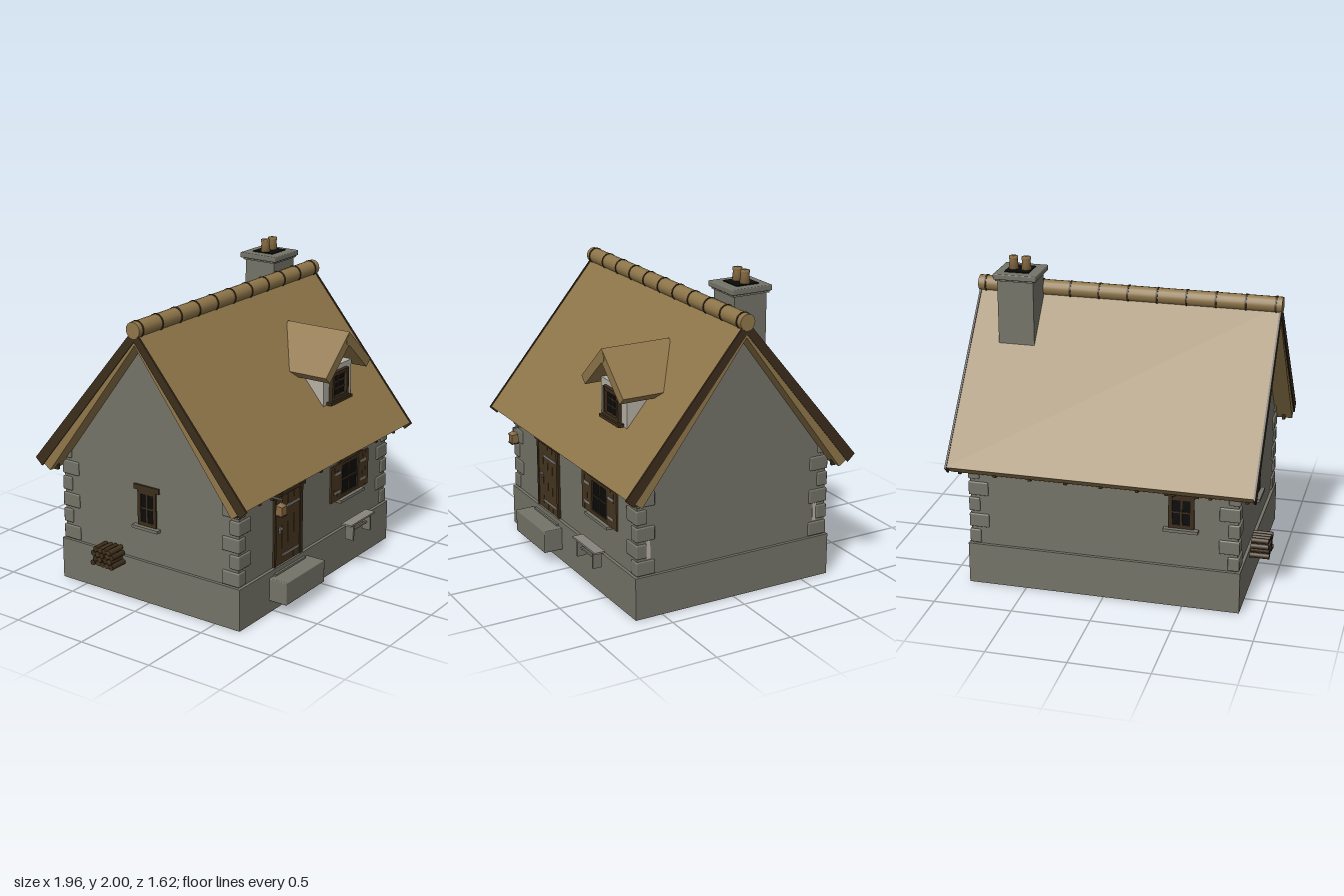
import * as THREE from 'three';
import { RoundedBoxGeometry } from 'three/addons/geometries/RoundedBoxGeometry.js';

const material = (name, color) => {
  const m = new THREE.MeshStandardMaterial({ color });
  m.name = name;
  return m;
};

export function createModel() {
  const stone = material('stone', 0x747368);
  const thatch = material('thatch', 0x8f764a);
  const darkWood = material('dark wood', 0x3b2d1b);
  const doorWood = material('door wood', 0x46351f);
  const plaster = material('plaster', 0xb5b0a5);
  const glass = material('dark glass', 0x0b0b0c);
  const clay = material('clay', 0x866a41);
  const iron = material('pale grey', 0x86847d);

  const model = new THREE.Group();
  model.name = 'cottage';

  const add = (name, geo, mat, parent) => {
    const m = new THREE.Mesh(geo, mat);
    m.name = name;
    parent.add(m);
    return m;
  };
  const group = (name, parent) => {
    const g = new THREE.Group();
    g.name = name;
    parent.add(g);
    return g;
  };
  const house = group('house', model);
  house.position.set(.008, 0, -.006);

  // box given by its limits on each axis, with optional rounded edges
  const box = (name, mat, x0, x1, y0, y1, z0, z1, parent = house, r = 0) => {
    const size = [x1 - x0, y1 - y0, z1 - z0];
    const m = add(name, r ? new RoundedBoxGeometry(...size, 1, r) : new THREE.BoxGeometry(...size), mat, parent);
    m.position.set((x0 + x1) / 2, (y0 + y1) / 2, (z0 + z1) / 2);
    return m;
  };
  const outline = pts => pts.map(p => new THREE.Vector2(...p));
  const extrude = (pts, depth) => new THREE.ExtrudeGeometry(
    new THREE.Shape(outline(pts)), { depth, bevelEnabled: false });
  const chevron = (top, ox, oy, ix, iy, inner) =>
    [[0, top], [-ox, oy], [-ix, iy], [0, inner], [ix, iy], [ox, oy]];
  // prism running along x with its outline in the z-y plane
  const prismX = (name, mat, pts, x0, x1, parent = house) => {
    const m = add(name, extrude(pts, x1 - x0).rotateY(Math.PI / 2), mat, parent);
    m.position.x = x0;
    return m;
  };

  // Hollow foundation with floor above
  const ring = new THREE.Shape(outline([[-.865, -.686], [.865, -.686], [.865, .686], [-.865, .686]]));
  ring.holes.push(new THREE.Path(outline([[-.825, -.645], [-.825, .645], [.825, .645], [.825, -.645]])));
  add('foundation', new THREE.ExtrudeGeometry(ring, { depth: .27, bevelEnabled: false }).rotateX(-Math.PI / 2), stone, house);
  box('floor', plaster, -.83, .83, .2, .208, -.65, .65);

  // Walls with gables, tucked into the thatch
  prismX('walls', stone, [[-.665, .21], [.665, .21], [.665, .8], [0, 1.702], [-.665, .8]], -.845, .845);
  for (const s of [-1, 1])
    box('plasterPatch', plaster, .842, .848, .375, .495, s * .59 - .012, s * .59 + .012);

  // Corner stones, long and short in turn
  const quoins = group('cornerStones', house);
  for (const sx of [-1, 1]) for (const sz of [-1, 1]) for (let i = 0; i < 6; i++) {
    const w = i % 2 ? .128 : .072, d = i % 2 ? .072 : .128;
    const q = add('cornerStone', new RoundedBoxGeometry(w, .09, d, 1, .008), stone, quoins);
    q.position.set(sx * (.857 - w / 2), .32 + i * .1085, sz * (.676 - d / 2));
  }

  // Main roof
  const roof = group('roof', house);
  prismX('thatchRoof', thatch, chevron(1.765, .79, .822, .69, .752, 1.672), -.955, .957, roof);
  for (const x of [-.962, .95])
    prismX('bargeBoard', darkWood, chevron(1.775, .8, .818, .75, .772, 1.695), x, x + .012, roof);

  // Ridge roll with bands
  const ridgeRoll = add('ridgeRoll', new THREE.CylinderGeometry(.05, .05, 1.935, 16).rotateZ(Math.PI / 2), thatch, roof);
  ridgeRoll.position.set(0, 1.767, 0);
  for (let i = 0; i < 11; i++) {
    const b = add('ridgeBand', new THREE.CylinderGeometry(.054, .054, .011, 16).rotateZ(Math.PI / 2), darkWood, roof);
    b.position.set(-.928 + i * .185, 1.767, 0);
  }

  // Rafter tails under both eaves
  for (const s of [-1, 1]) for (let i = 0; i < 9; i++) {
    const x = -.9 + i * .225;
    box('rafterTail', darkWood, x - .01, x + .01, .746, .79, s * .685 - .018, s * .685 + .018);
  }

  // Chimney
  const chimney = group('chimney', house);
  box('chimneyStack', stone, .54, .77, 1.4, 1.89, -.253, -.03, chimney);
  box('chimneyCollar', stone, .53, .78, 1.868, 1.885, -.265, -.018, chimney);
  box('chimneyCap', stone, .515, .79, 1.88, 1.916, -.281, -.004, chimney, .007);
  box('chimneyOpening', glass, .577, .732, 1.914, 1.922, -.222, -.069, chimney);
  for (const x of [.613, .695]) {
    const profile = [[0, 1.915], [.033, 1.915], [.026, 1.98], [.029, 1.984], [.029, 2], [0, 2]];
    const pot = add('chimneyPot', new THREE.LatheGeometry(outline(profile), 12), clay, chimney);
    pot.position.set(x, 0, -.147);
  }

  // Window facing +z, its wall on z = 0, frame standing out by d
  const makeWindow = (name, w, h, rows, d, sillMat, lintel) => {
    const g = group(name, house), a = w / 2, b = h / 2, t = .024;
    box('windowGlass', glass, -a + .01, a - .01, -b + .01, b - .01, -.003, .003, g);
    for (const s of [-1, 1]) {
      box('windowJamb', darkWood, s * (a - t / 2) - t / 2, s * (a - t / 2) + t / 2, -b, b, -.01, d, g);
      box('windowRail', darkWood, -a, a, s * (b - t / 2) - t / 2, s * (b - t / 2) + t / 2, -.01, d - .001, g);
    }
    box('glazingPost', darkWood, -.006, .006, -b, b, -.01, .008, g);
    for (let i = 1; i < rows; i++) {
      const y = -b + t + (h - 2 * t) * i / rows;
      box('glazingBar', darkWood, -a, a, y - .005, y + .005, -.01, .007, g);
    }
    box('windowSill', sillMat, -a - .028, a + .028, -b - .019, -b, -.01, .036, g);
    if (lintel) box('windowLintel', darkWood, -a - .025, a + .025, b, b + .032, -.01, d + .004, g);
    return g;
  };

  // Front window with shutters
  const front = makeWindow('frontWindow', .235, .242, 2, .012, stone, true);
  front.position.set(.384, .6, .665);
  for (const s of [-1, 1]) {
    const sh = group('shutter', front);
    for (let i = 0; i < 3; i++) {
      const x = s * (.135 + i * .037);
      box('shutterBoard', doorWood, x - .0178, x + .0178, -.122, .122, 0, .012, sh);
    }
    for (const y of [-.065, .062])
      box('shutterStrap', iron, s * .155 - .035, s * .155 + .035, y - .008, y + .008, .01, .015, sh);
  }
  // Back and side windows
  const back = makeWindow('backWindow', .16, .21, 2, .01, stone, true);
  back.position.set(-.495, .63, -.665);
  back.rotation.y = Math.PI;
  const side = makeWindow('sideWindow', .14, .23, 2, .01, stone, true);
  side.position.set(-.845, .618, -.01);
  side.rotation.y = -Math.PI / 2;

  // Door
  const door = group('door', house);
  box('doorPost', darkWood, -.486, -.468, .24, .722, .65, .679, door);
  box('doorPost', darkWood, -.204, -.176, .24, .722, .65, .679, door);
  box('doorHeader', darkWood, -.486, -.176, .714, .722, .65, .678, door);
  box('doorLintel', darkWood, -.513, -.151, .72, .76, .65, .683, door);
  box('doorBack', darkWood, -.47, -.2, .24, .718, .655, .667, door);
  for (let i = 0; i < 4; i++)
    box('doorPlank', doorWood, -.467 + i * .066, -.404 + i * .066, .24, .714, .66, .674, door);
  for (const y of [.325, .635])
    box('doorStrap', iron, -.396, -.213, y - .008, y + .008, .672, .679, door);
  box('doorLatch', iron, -.432, -.416, .475, .52, .672, .679, door);
  box('doorHandle', iron, -.432, -.403, .5, .51, .676, .688, door);
  box('threshold', stone, -.503, -.168, .226, .24, .65, .7, door);
  box('doorStep', stone, -.551, -.121, .08, .228, .67, .811, house, .006);

  // Dormer, its box of walls open to the rafters under the roof
  const dormer = group('dormer', house);
  dormer.position.set(.384, 0, .006);
  box('dormerWalls', plaster, -.165, .165, 1.085, 1.325, .2, .56, dormer);
  const dormerRoof = add('dormerRoof', extrude(chevron(1.555, .268, 1.315, .222, 1.272, 1.468), .458), thatch, dormer);
  dormerRoof.position.z = .182;
  const ridge = add('dormerRidge', new THREE.CylinderGeometry(.034, .034, .46, 12).rotateX(Math.PI / 2), thatch, dormer);
  ridge.position.set(0, 1.5, .412);
  const dormerWindow = makeWindow('dormerWindow', .195, .185, 3, .024, darkWood, false);
  dormerWindow.position.set(.384, 1.2, .568);

  // Bench
  const bench = group('bench', house);
  box('benchSeat', iron, .232, .532, .316, .328, .714, .784, bench);
  for (const x of [.279, .489]) box('benchLeg', stone, x - .007, x + .007, .21, .318, .718, .778, bench);
  box('benchStretcher', stone, .272, .496, .258, .27, .741, .754, bench);

  // Hanging lantern
  const lantern = group('lantern', house);
  lantern.position.set(-.593, 0, .794);
  box('lanternArm', iron, -.005, .005, .777, .785, -.14, .004, lantern);
  box('lanternChain', iron, -.003, .003, .75, .78, -.003, .003, lantern);
  box('lanternBody', clay, -.026, .026, .685, .742, -.022, .022, lantern);
  box('lanternBase', darkWood, -.028, .028, .678, .686, -.024, .024, lantern);
  const cap = add('lanternCap', new THREE.ConeGeometry(.036, .024, 4).rotateY(Math.PI / 4), clay, lantern);
  cap.position.y = .754;

  // Stacked firewood against the side wall
  const logs = group('firewood', house);
  for (let row = 0; row < 4; row++) for (let i = 0; i < 5 - row % 2; i++) {
    const log = add('log', new THREE.CylinderGeometry(.018, .018, .125 - (i * 3 + row) % 4 * .006, 8).rotateZ(Math.PI / 2), i % 2 ? doorWood : darkWood, logs);
    log.position.set(-.926, .229 + row * .031, -.337 + (i + row % 2 / 2) * .036);
  }

  return model;
}
